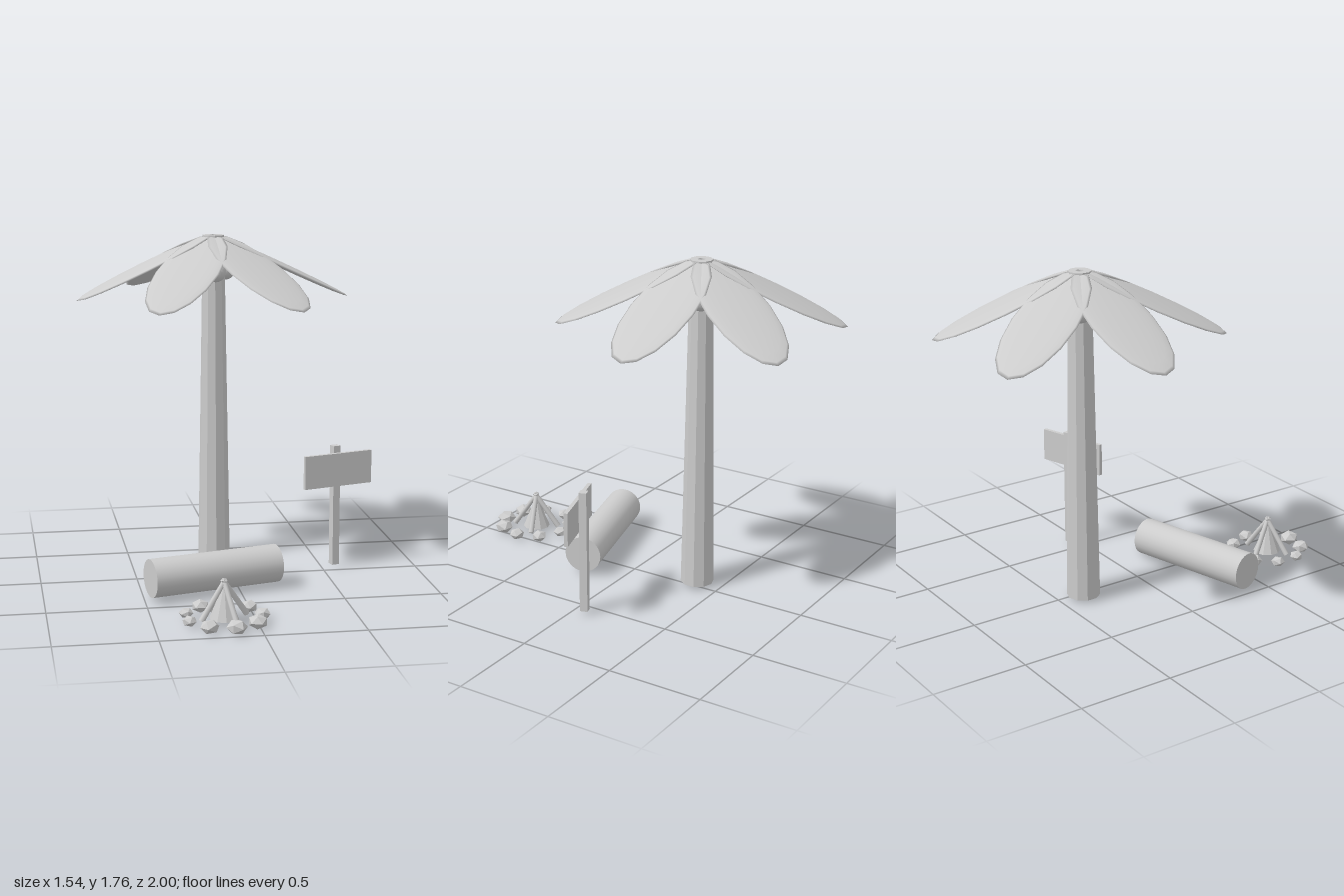
import * as THREE from 'three';

export function createModel() {
  const root = new THREE.Group();
  root.name = 'palmCamp';
  const smooth = new THREE.MeshStandardMaterial({ color: 0xcccccc });
  smooth.name = 'plainGrey';
  // The faceted parts share the grey; their geometry carries flat normals.
  const add = (parent, name, geometry, x = 0, y = 0, z = 0) => {
    const mesh = new THREE.Mesh(geometry, smooth);
    mesh.name = name;
    mesh.position.set(x, y, z);
    parent.add(mesh);
    return mesh;
  };
  const group = (name, x, y, z, yaw = 0) => {
    const g = new THREE.Group();
    g.name = name;
    g.position.set(x, y, z);
    g.rotation.y = yaw;
    root.add(g);
    return g;
  };
  const faceted = (geometry) => {
    const g = geometry.index ? geometry.toNonIndexed() : geometry;
    g.computeVertexNormals();
    return g;
  };

  // Palm tree: tapered trunk, six drooping leaves, three coconuts
  const palm = group('palmTree', -0.037, 0, -0.367);
  add(palm, 'trunk', faceted(new THREE.CylinderGeometry(0.058, 0.087, 1.745, 10)), 0, 0.8925, 0);
  const leafGeometry = new THREE.SphereGeometry(1, 16, 10);
  leafGeometry.scale(0.4, 0.016, 0.175);
  leafGeometry.rotateZ(-0.44);
  leafGeometry.translate(0.367, 1.598, 0);
  for (let i = 0; i < 6; i++) {
    add(palm, 'leaf', leafGeometry).rotation.y = (i * Math.PI) / 3;
  }
  for (let i = 0; i < 3; i++) {
    const a = Math.PI / 2 + (i * Math.PI * 2) / 3;
    add(palm, 'coconut', new THREE.SphereGeometry(0.055, 16, 12),
      0.08 * Math.cos(a), 1.577, 0.08 * Math.sin(a));
  }

  // Signpost: board fixed to the front of the post
  const sign = group('signpost', 0.577, 0, -0.035, 0.3);
  add(sign, 'signBoard', new THREE.BoxGeometry(0.4, 0.177, 0.02), 0, 0.545, 0);
  add(sign, 'signPost', new THREE.BoxGeometry(0.04, 0.65, 0.04), 0, 0.345, -0.03);

  // Log lying on the ground
  const log = group('log', -0.134, 0.118, 0.288, 0.26);
  add(log, 'logBody', new THREE.CylinderGeometry(0.098, 0.098, 0.695, 24)).rotation.z = Math.PI / 2;

  // Campfire: stone ring, leaning sticks, flame cone
  const fire = group('campfire', -0.157, 0, 0.763);
  const stones = [0.042, 0.05, 0.052, 0.048, 0.037, 0.037, 0.045, 0.037, 0.043];
  stones.forEach((r, i) => {
    const a = ((i * 40) * Math.PI) / 180;
    const stone = add(fire, 'stone', new THREE.IcosahedronGeometry(r, 0),
      0.188 * Math.cos(a), 0.036, 0.188 * Math.sin(a));
    stone.scale.y = 0.72;
    stone.rotation.y = i * 1.3;
  });
  const up = new THREE.Vector3(0, 1, 0);
  for (let i = 0; i < 4; i++) {
    const a = -0.36 + (i * Math.PI) / 2;
    const foot = new THREE.Vector3(0.125 * Math.cos(a), 0.025, 0.125 * Math.sin(a));
    const tip = new THREE.Vector3(-0.008 * Math.cos(a), 0.215, -0.008 * Math.sin(a));
    const span = tip.clone().sub(foot);
    const stick = add(fire, 'stick', new THREE.CylinderGeometry(0.012, 0.015, span.length(), 8));
    stick.position.copy(foot).add(tip).multiplyScalar(0.5);
    stick.quaternion.setFromUnitVectors(up, span.normalize());
  }
  add(fire, 'flame', faceted(new THREE.ConeGeometry(0.073, 0.18, 10)), 0, 0.11, 0);

  return root;
}
